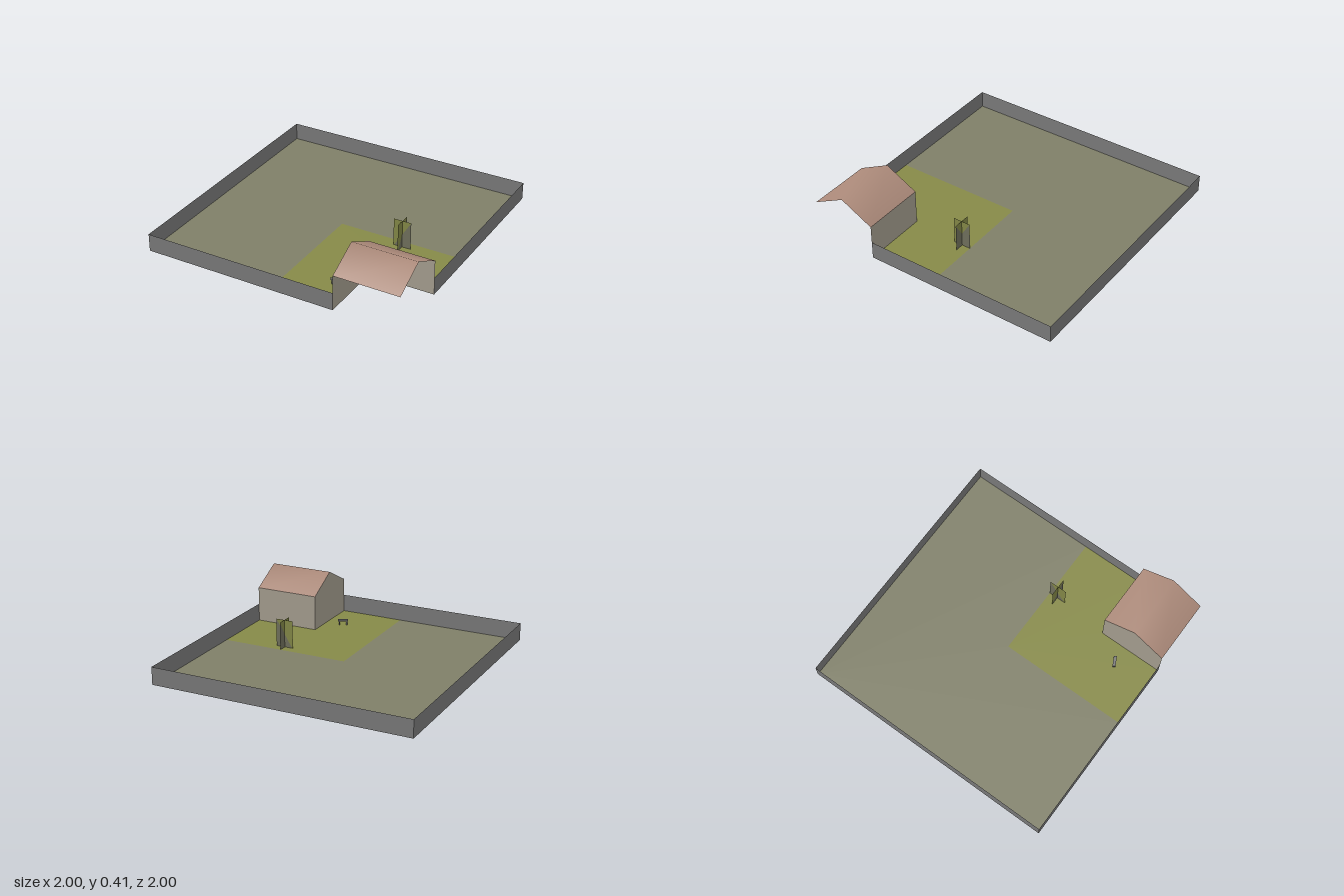
import * as THREE from 'three';

const flat = (name, color) => {
  const m = new THREE.MeshStandardMaterial({ color, side: THREE.DoubleSide });
  m.name = name;
  return m;
};

// Thin sheet from corner points and a face list (shared corners give smooth normals)
function sheet(name, material, points, faces) {
  const g = new THREE.BufferGeometry();
  g.setAttribute('position', new THREE.Float32BufferAttribute(points.flat(), 3));
  g.setIndex(faces);
  g.computeVertexNormals();
  const mesh = new THREE.Mesh(g, material);
  mesh.name = name;
  return mesh;
}
const QUAD = [0, 1, 2, 0, 2, 3];

// Horizontal L: the square from (a, a) to (1, 1), or wider, with its +x +z corner cut away
function groundL(name, material, start, cut, y) {
  const s = new THREE.Shape([
    [start, -start], [start, -1], [cut, -1], [cut, -cut], [1, -cut], [1, -start],
  ].map(([x, z]) => new THREE.Vector2(x, z)));
  const mesh = new THREE.Mesh(new THREE.ShapeGeometry(s).rotateX(-Math.PI / 2), material);
  mesh.name = name;
  mesh.position.y = y;
  return mesh;
}

export function createModel() {
  const earth = flat('earth', 0x7f7f68);
  const grass = flat('grass', 0x868a48);
  const stone = flat('stone', 0x7c7c7c);
  const plaster = flat('plaster', 0xa8a192);
  const tiles = flat('roof tiles', 0xac8a7a);
  const bark = flat('bark', 0x72725e);

  const model = new THREE.Group();
  model.name = 'walledYard';
  const base = 0.01, wallTop = 0.145, eave = 0.28, ridge = 0.41;

  // Ground and lawn
  model.add(groundL('ground', earth, -1, 0, base));
  model.add(groundL('lawn', grass, 0, 0.5, base));

  // Boundary walls, running outside in from house corner to house corner
  const path = [[0.5, 1], [-1, 1], [-1, -1], [1, -1], [1, 0.5]];
  for (let i = 0; i < path.length - 1; i++) {
    const [ax, az] = path[i], [bx, bz] = path[i + 1];
    model.add(sheet('boundaryWall', stone, [
      [bx, base, bz], [ax, base, az], [ax, wallTop, az], [bx, wallTop, bz],
    ], QUAD));
  }

  // House: two walls towards the yard and a gabled roof, open on the outer sides
  const house = new THREE.Group();
  house.name = 'house';
  house.add(sheet('gableWall', plaster, [
    [0.5, base, 0.5], [0.5, base, 1], [0.5, eave, 1], [0.5, ridge, 0.75], [0.5, eave, 0.5],
  ], [0, 1, 2, 0, 2, 3, 0, 3, 4]));
  house.add(sheet('sideWall', plaster, [
    [1, base, 0.5], [0.5, base, 0.5], [0.5, eave, 0.5], [1, eave, 0.5],
  ], QUAD));
  house.add(sheet('roof', tiles, [
    [0.5, eave, 1], [1, eave, 1], [0.5, ridge, 0.75], [1, ridge, 0.75], [0.5, eave, 0.5], [1, eave, 0.5],
  ], [0, 1, 3, 0, 3, 2, 2, 3, 5, 2, 5, 4]));
  model.add(house);

  // Bush: two crossed upright panels, each split along its diagonal
  const bush = new THREE.Group();
  bush.name = 'bush';
  for (const turn of [0, Math.PI / 2]) {
    const panel = new THREE.Group();
    panel.name = 'bushPanel';
    const w = 0.069, h = 0.225;
    panel.add(sheet('leafHalf', grass, [[-w, 0, 0], [w, h, 0], [-w, h, 0]], [0, 1, 2]));
    panel.add(sheet('barkHalf', bark, [[-w, 0, 0], [w, 0, 0], [w, h, 0]], [0, 1, 2]));
    panel.rotation.y = turn;
    bush.add(panel);
  }
  bush.position.set(0.53, 0, 0.067);
  model.add(bush);

  // Bench by the house
  const bench = new THREE.Group();
  bench.name = 'bench';
  const block = (name, w, h, d, x, y) => {
    const m = new THREE.Mesh(new THREE.BoxGeometry(w, h, d), stone);
    m.name = name;
    m.position.set(x, y, 0);
    bench.add(m);
  };
  block('benchSeat', 0.08, 0.01, 0.022, 0, 0.035);
  for (const s of [-1, 1]) block('benchLeg', 0.01, 0.03, 0.02, s * 0.028, 0.015);
  bench.position.set(0.36, base, 0.706);
  bench.rotation.y = 0.47;
  model.add(bench);

  return model;
}
